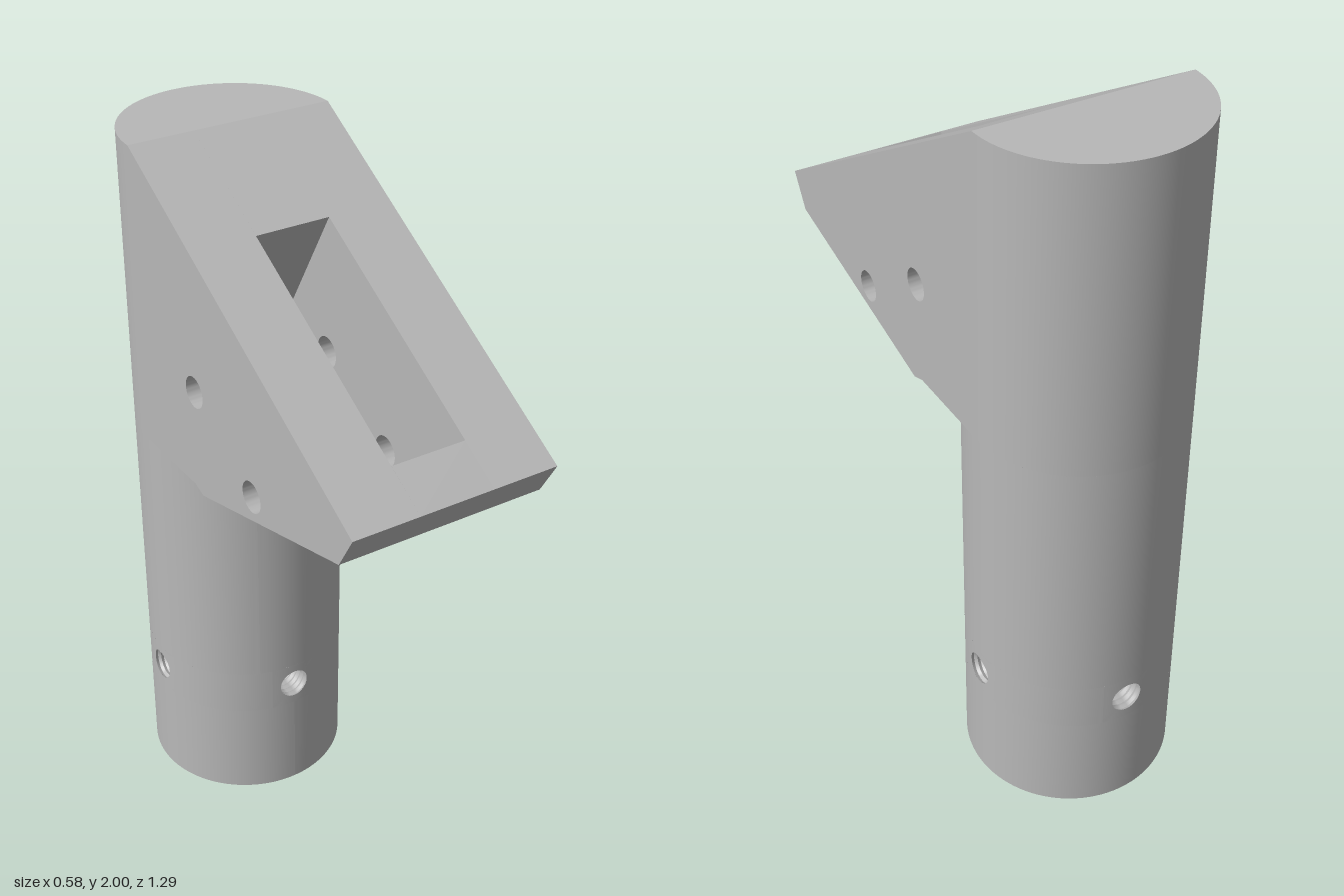
import * as THREE from 'three';
import { toCreasedNormals } from 'three/addons/utils/BufferGeometryUtils.js';

const R = 0.29, BORE = 0.185, AXIS_Z = -0.355;   // tube radii and axis
const HOLE = 0.045, HOLE_Y = 0.37, PATCH = 0.07; // screw holes
const HEAD_Y = 1.17, TOP = 2, BORE_TOP = 0.75;
const SLOT = 0.105;                              // half width of the slot
const PI = Math.PI;

// A grid of faces shaped by a rule (u, v) -> [x, y, z]
function grid(nu, nv, rule) {
  const g = new THREE.PlaneGeometry(1, 1, nu, nv);
  const p = g.attributes.position, uv = g.attributes.uv;
  for (let i = 0; i < p.count; i++) p.setXYZ(i, ...rule(uv.getX(i), uv.getY(i)));
  g.computeVertexNormals();
  return g;
}

// Part of a round wall; angle runs from +z towards +x
const arc = (r, a0, a1, y0, topY) =>
  grid(Math.max(4, Math.ceil(Math.abs(a1 - a0) * 16)), 1, (u, v) => {
    const a = a0 + (a1 - a0) * u, z = r * Math.cos(a);
    const y1 = typeof topY === 'function' ? topY(z) : topY;
    return [r * Math.sin(a), y0 + (y1 - y0) * v, z];
  });

// Square wall patch with a round hole in it; dir -1 faces inwards
const holePatch = (r, dir) => grid(48, 3, (u, v) => {
  const s = u * 2 * PI * dir, c = Math.cos(s), n = Math.sin(s);
  const d = THREE.MathUtils.lerp(PATCH / Math.max(Math.abs(c), Math.abs(n)), HOLE, v);
  return [d * c, HOLE_Y + d * n, Math.sqrt(r * r - d * d * c * c)];
});

// Ridged lining of a screw hole
const holeLining = () => toCreasedNormals(grid(32, 12, (u, v) => {
  const s = -u * 2 * PI, d = HOLE + (Math.round(v * 12) % 2) * 0.005;
  const x = d * Math.cos(s);
  const z0 = Math.sqrt(BORE * BORE - x * x), z1 = Math.sqrt(R * R - x * x);
  return [x, HOLE_Y + d * Math.sin(s), z0 + (z1 - z0) * v];
}), 0.5);

// Outline of [z, y] points, with optional round holes
function outline(points, holes = []) {
  const s = new THREE.Shape(points.map(([z, y]) => new THREE.Vector2(z, y)));
  for (const [z, y, r] of holes) s.holes.push(new THREE.Path().absarc(z, y, r, 0, 2 * PI, true));
  return s;
}

// Side outline extruded across x from x0 to x1
function across(shape, x0, x1) {
  const g = new THREE.ExtrudeGeometry(shape, { depth: x1 - x0, bevelEnabled: false, curveSegments: 24 });
  g.rotateY(-PI / 2).translate(x1, 0, 0);
  return toCreasedNormals(g, 0.5);
}

export function createModel() {
  const model = new THREE.Group();
  model.name = 'angledTubeMount';
  const grey = new THREE.MeshStandardMaterial({ color: 0xb8b8b8, side: THREE.DoubleSide });
  grey.name = 'grey';
  const add = (parent, name, geometry) => {
    const m = new THREE.Mesh(geometry, grey);
    m.name = name;
    parent.add(m);
    return m;
  };

  // Round tube
  const tube = new THREE.Group();
  tube.name = 'tube';
  tube.position.z = AXIS_Z;
  model.add(tube);

  const lo = HOLE_Y - PATCH, hi = HOLE_Y + PATCH;
  const notch = Math.asin(SLOT / R);
  const floorY = (z) => 1.0275 - 0.577 * z;      // sloping slot floor
  add(tube, 'tubeFoot', arc(R, 0, 2 * PI, 0, lo));
  add(tube, 'tubeShaft', arc(R, notch, 2 * PI - notch, hi, HEAD_Y));
  add(tube, 'tubeBelowNotch', arc(R, -notch, notch, hi, (z) => floorY(z + AXIS_Z)));
  add(tube, 'boreLower', arc(BORE, 2 * PI, 0, 0.14, lo));
  add(tube, 'boreUpper', arc(BORE, 2 * PI, 0, hi, BORE_TOP));
  add(tube, 'boreEnd', new THREE.CircleGeometry(BORE, 64).rotateX(PI / 2).translate(0, BORE_TOP, 0));

  // Band with four screw holes
  const aOut = Math.asin(PATCH / R), aIn = Math.asin(PATCH / BORE);
  for (let k = 0; k < 4; k++) {
    const side = new THREE.Group();
    side.name = 'screwHoleSide';
    side.rotation.y = k * PI / 2;
    tube.add(side);
    add(side, 'outerHolePatch', holePatch(R, 1));
    add(side, 'innerHolePatch', holePatch(BORE, -1));
    add(side, 'screwHole', holeLining());
    add(side, 'outerBand', arc(R, aOut, PI / 2 - aOut, lo, hi));
    add(side, 'innerBand', arc(BORE, PI / 2 - aIn, aIn, lo, hi));
  }

  // Rim and stepped mouth of the bore
  const steps = [[BORE, 0.14], [0.205, 0.14], [0.205, 0.07], [0.228, 0.07], [0.228, 0], [R, 0]];
  add(tube, 'boreMouth', toCreasedNormals(
    new THREE.LatheGeometry(steps.map(([r, y]) => new THREE.Vector2(r, y)), 64), 0.5));

  // Rounded back and flat top of the head
  add(tube, 'headBack', arc(R, PI / 2, 1.5 * PI, HEAD_Y, TOP));
  add(tube, 'headTop', new THREE.CircleGeometry(R, 64, 0, PI).rotateX(-PI / 2).translate(0, TOP, 0));

  // Slanted head: two cheeks with pin holes
  const head = new THREE.Group();
  head.name = 'head';
  model.add(head);
  const tip = [0.65, 1.42], chin = [0.597, 1.325];
  const slotTop = [-0.06, 1.83], slotBack = [-0.392, 1.2537];
  const slotFront = [0.53, 1.49], slotUnder = [0.404, 1.273];
  const cheek = outline(
    [[AXIS_Z, TOP], [AXIS_Z, HEAD_Y], [-0.08, HEAD_Y], [-0.04, 1.155], chin, tip],
    [[-0.065, 1.45, 0.043], [0.21, 1.29, 0.043]]);
  add(head, 'leftCheek', across(cheek, SLOT, R));
  add(head, 'rightCheek', across(cheek, -R, -SLOT));

  // Blocks before and behind the slot
  add(head, 'nose', across(outline([slotFront, slotUnder, chin, tip]), -SLOT, SLOT));
  add(head, 'slotRear', across(outline(
    [[AXIS_Z, TOP], [-0.42, 1.95], [-0.42, slotBack[1]], slotBack, slotTop]), -SLOT, SLOT));

  // Slot floor and the low walls cut into the tube
  add(head, 'slotFloor', grid(16, 1, (u, v) => {
    const x = (u * 2 - 1) * SLOT;
    const z = THREE.MathUtils.lerp(AXIS_Z + Math.sqrt(R * R - x * x), slotBack[0], v);
    return [x, floorY(z), z];
  }));
  const edgeZ = AXIS_Z + Math.sqrt(R * R - SLOT * SLOT);
  const lowWall = outline([[AXIS_Z, 1.319], slotBack, [edgeZ, floorY(edgeZ)], [edgeZ, HEAD_Y], [AXIS_Z, HEAD_Y]]);
  for (const s of [-1, 1]) {
    add(head, s > 0 ? 'leftSlotWall' : 'rightSlotWall',
      new THREE.ShapeGeometry(lowWall).rotateY(-PI / 2).translate(s * SLOT, 0, 0));
  }
  return model;
}
